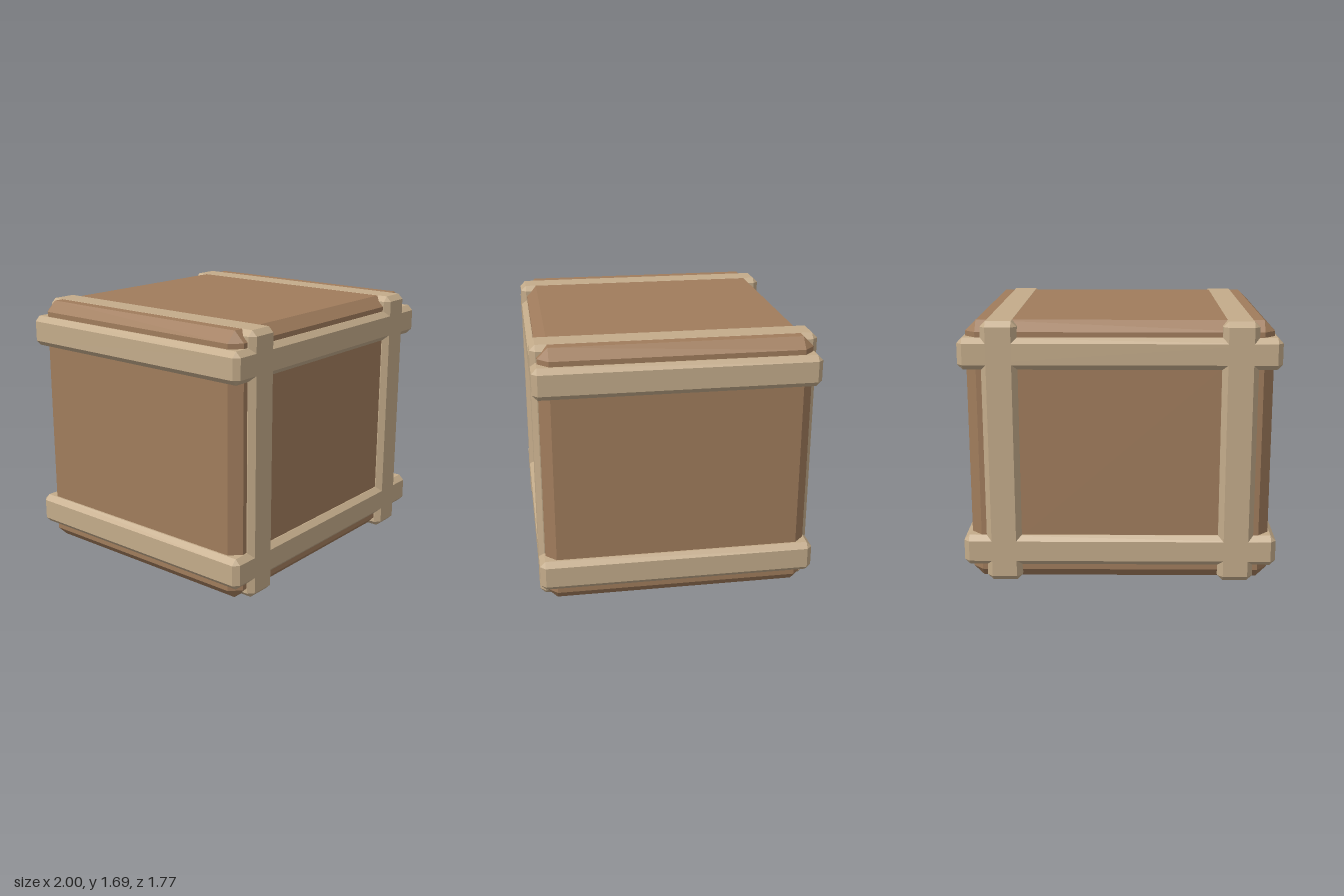
import * as THREE from 'three';
import { ConvexGeometry } from 'three/addons/geometries/ConvexGeometry.js';

// Box with every edge cut at 45 degrees and triangular corners
function chamferedBox(w, h, d, c) {
  const points = [];
  for (const x of [-w / 2, w / 2])
    for (const y of [-h / 2, h / 2])
      for (const z of [-d / 2, d / 2]) {
        const ix = x - Math.sign(x) * c, iy = y - Math.sign(y) * c, iz = z - Math.sign(z) * c;
        points.push(
          new THREE.Vector3(x, iy, iz),
          new THREE.Vector3(ix, y, iz),
          new THREE.Vector3(ix, iy, z)
        );
      }
  return new ConvexGeometry(points);
}

export function createModel() {
  const crate = new THREE.Group();
  crate.name = 'crate';
  const panelWood = new THREE.MeshStandardMaterial({ color: 0xa07c5c, flatShading: true });
  const strapWood = new THREE.MeshStandardMaterial({ color: 0xc3ab8a, flatShading: true });

  function add(name, size, chamfer, x, y, material) {
    const mesh = new THREE.Mesh(chamferedBox(...size, chamfer), material);
    mesh.name = name;
    mesh.position.set(x, y, 0);
    crate.add(mesh);
  }

  const height = 1.684;

  // Main block
  add('body', [1.91, height, 1.69], 0.067, 0, height / 2, panelWood);

  // Bands running around the front, top, back and bottom, a hair proud of the body
  for (const [side, x] of [['left', 0.742], ['right', -0.742]])
    add(side + 'VerticalBand', [0.225, height + 0.002, 1.77], 0.034, x, height / 2, strapWood);

  // Bands running around the four walls
  for (const [level, y] of [['lower', 0.205], ['upper', 1.485]])
    add(level + 'HorizontalBand', [2, 0.2, 1.77], 0.034, 0, y, strapWood);

  crate.position.y = 0.001;
  const model = new THREE.Group();
  model.add(crate);
  return model;
}
